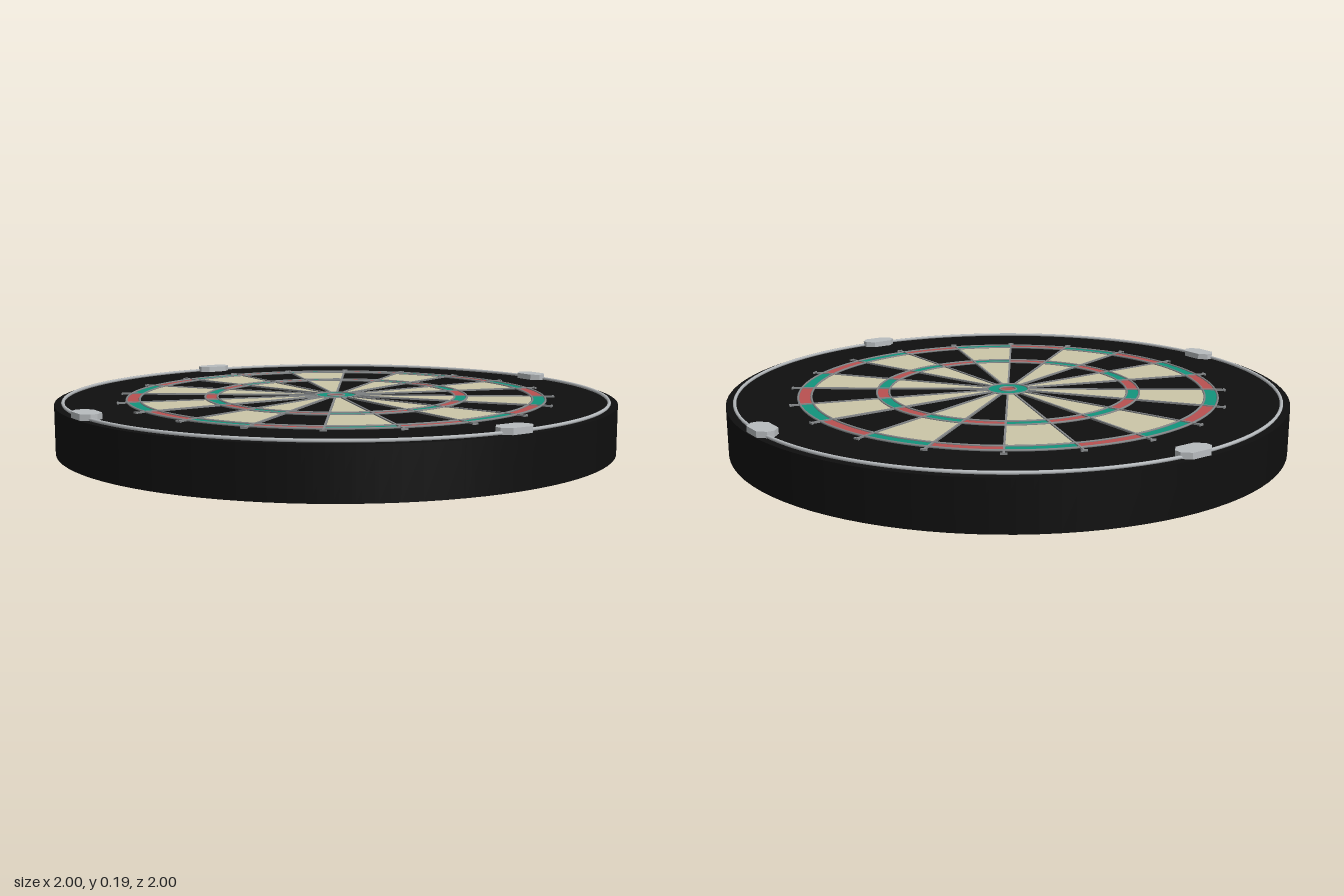
import * as THREE from 'three';
import { mergeGeometries } from 'three/addons/utils/BufferGeometryUtils.js';

const mat = (name, color) => {
  const m = new THREE.MeshStandardMaterial({ color });
  m.name = name;
  return m;
};

export function createModel() {
  const black = mat('black', 0x0f0f0f);
  const cream = mat('cream', 0xcbc6a8);
  const red = mat('red', 0xb95151);
  const green = mat('green', 0x12957d);
  const wire = mat('wire grey', 0x85888a);
  const silver = mat('silver', 0xb8bcbf);

  const board = new THREE.Group();
  board.name = 'dartboard';
  const add = (name, geometry, material, parent = board) => {
    const mesh = new THREE.Mesh(geometry, material);
    mesh.name = name;
    parent.add(mesh);
    return mesh;
  };

  const TOP = 0.171, STEP = Math.PI / 10;
  const BULL = 0.03, OUTER_BULL = 0.075;
  const TRIPLE = [0.43, 0.474], DOUBLE = [0.706, 0.752];

  // Solid round body
  add('body', new THREE.CylinderGeometry(1, 1, TOP, 96).translate(0, TOP / 2, 0), black);

  // Painted fields: flat ring sectors just above the body
  const sector = (r0, r1, start = 0, len = Math.PI * 2, n = 6) =>
    new THREE.RingGeometry(r0, r1, n, 1, start, len)
      .rotateX(-Math.PI / 2).translate(0, TOP + 0.002, 0);
  const fields = { cream: [], red: [], green: [] };
  for (let i = 0; i < 20; i++) {
    const start = Math.PI / 2 + (i - 0.5) * STEP;
    const scoring = i % 2 ? fields.green : fields.red;
    scoring.push(sector(...TRIPLE, start, STEP), sector(...DOUBLE, start, STEP));
    if (i % 2) {
      fields.cream.push(sector(OUTER_BULL, TRIPLE[0], start, STEP));
      fields.cream.push(sector(TRIPLE[1], DOUBLE[0], start, STEP));
    }
  }
  add('creamFields', mergeGeometries(fields.cream), cream);
  add('redFields', mergeGeometries(fields.red), red);
  add('greenFields', mergeGeometries(fields.green), green);
  add('outerBull', sector(BULL, OUTER_BULL, 0, Math.PI * 2, 40), green);
  add('bull', sector(0, BULL, 0, Math.PI * 2, 32), red);

  // Wire spider: circles, spokes and small cross ends
  const hoop = (r, tube, y, n = 96) =>
    new THREE.TorusGeometry(r, tube, 6, n).rotateX(Math.PI / 2).translate(0, y, 0);
  const wires = [BULL, OUTER_BULL, ...TRIPLE, ...DOUBLE].map(r => hoop(r, 0.004, TOP + 0.003));
  const spokeEnd = 0.785;
  for (let i = 0; i < 20; i++) {
    const a = (i + 0.5) * STEP;
    wires.push(
      new THREE.BoxGeometry(spokeEnd - OUTER_BULL, 0.007, 0.007)
        .translate((spokeEnd + OUTER_BULL) / 2, TOP + 0.0025, 0).rotateY(a),
      new THREE.BoxGeometry(0.006, 0.007, 0.022)
        .translate(spokeEnd, TOP + 0.0025, 0).rotateY(a)
    );
  }
  add('wireSpider', mergeGeometries(wires), wire);

  // Outer number-ring hoop
  add('outerHoop', hoop(0.97, 0.006, TOP + 0.005, 128), silver);

  // Four chamfered clips holding the hoop
  const w = 0.038, l = 0.064, c = 0.026;
  const outline = new THREE.Shape([
    [w, -l + c], [w, l - c], [w - c, l], [-w + c, l],
    [-w, l - c], [-w, -l + c], [-w + c, -l], [w - c, -l]
  ].map(([x, y]) => new THREE.Vector2(x, y)));
  const clipGeometry = new THREE.ExtrudeGeometry(outline, { depth: 0.027, bevelEnabled: false })
    .rotateX(-Math.PI / 2).translate(0.957, 0.165, -0.006);
  const clips = new THREE.Group();
  clips.name = 'clips';
  board.add(clips);
  for (let i = 0; i < 4; i++) {
    add('clip', clipGeometry, silver, clips).rotation.y = Math.PI / 4 + i * Math.PI / 2;
  }

  return board;
}
